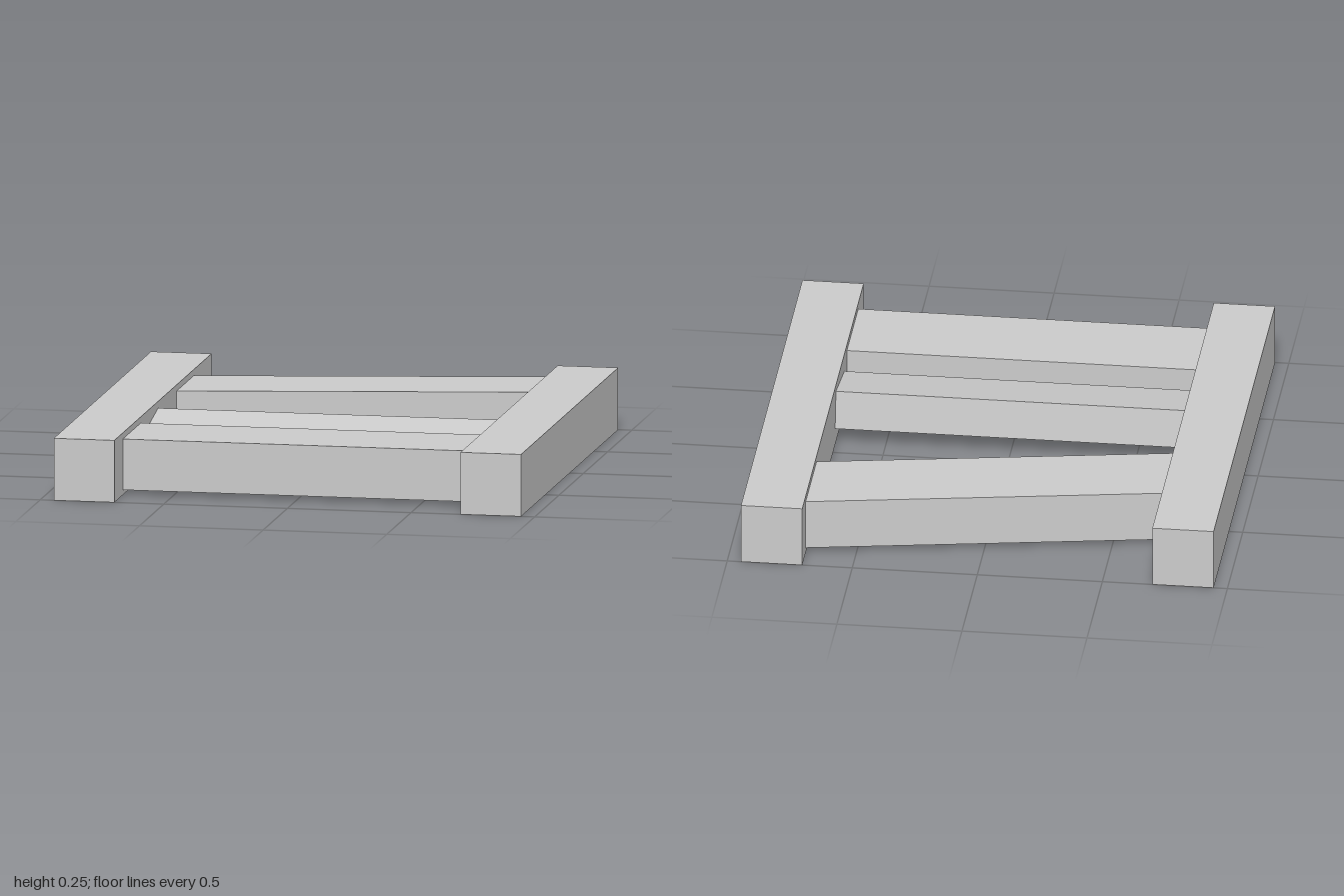
import * as THREE from 'three';

const material = new THREE.MeshStandardMaterial({ color: 0xcccccc, flatShading: true });

export function createModel() {
  const group = new THREE.Group();

  const addBeam = (name, size, position) => {
    const mesh = new THREE.Mesh(new THREE.BoxGeometry(...size), material);
    mesh.name = name;
    mesh.position.set(...position);
    group.add(mesh);
    return mesh;
  };

  // Two long side rails
  for (const [name, side] of [['leftRail', 1], ['rightRail', -1]]) {
    addBeam(name, [0.245, 0.25, 2], [side * 0.8225, 0.125, 0]);
  }

  // Straight front slat
  const span = 1.4;
  addBeam('frontSlat', [span, 0.205, 0.37], [0, 0.1225, 0.64]);

  // Middle slat, tipped down towards the front
  const middle = addBeam('tiltedSlat', [span, 0.155, 0.28], [0, 0.122, 0.2225]);
  middle.rotation.x = THREE.MathUtils.degToRad(10);

  // Rear slat, skewed so its ends stay flush with the rails
  const rear = addBeam('slantedSlat', [span, 0.205, 0.356], [0, 0.1225, -0.585]);
  const skew = new THREE.Matrix4();
  skew.elements[2] = -Math.tan(THREE.MathUtils.degToRad(10));
  rear.geometry.applyMatrix4(skew);
  rear.geometry.computeVertexNormals();

  return group;
}
